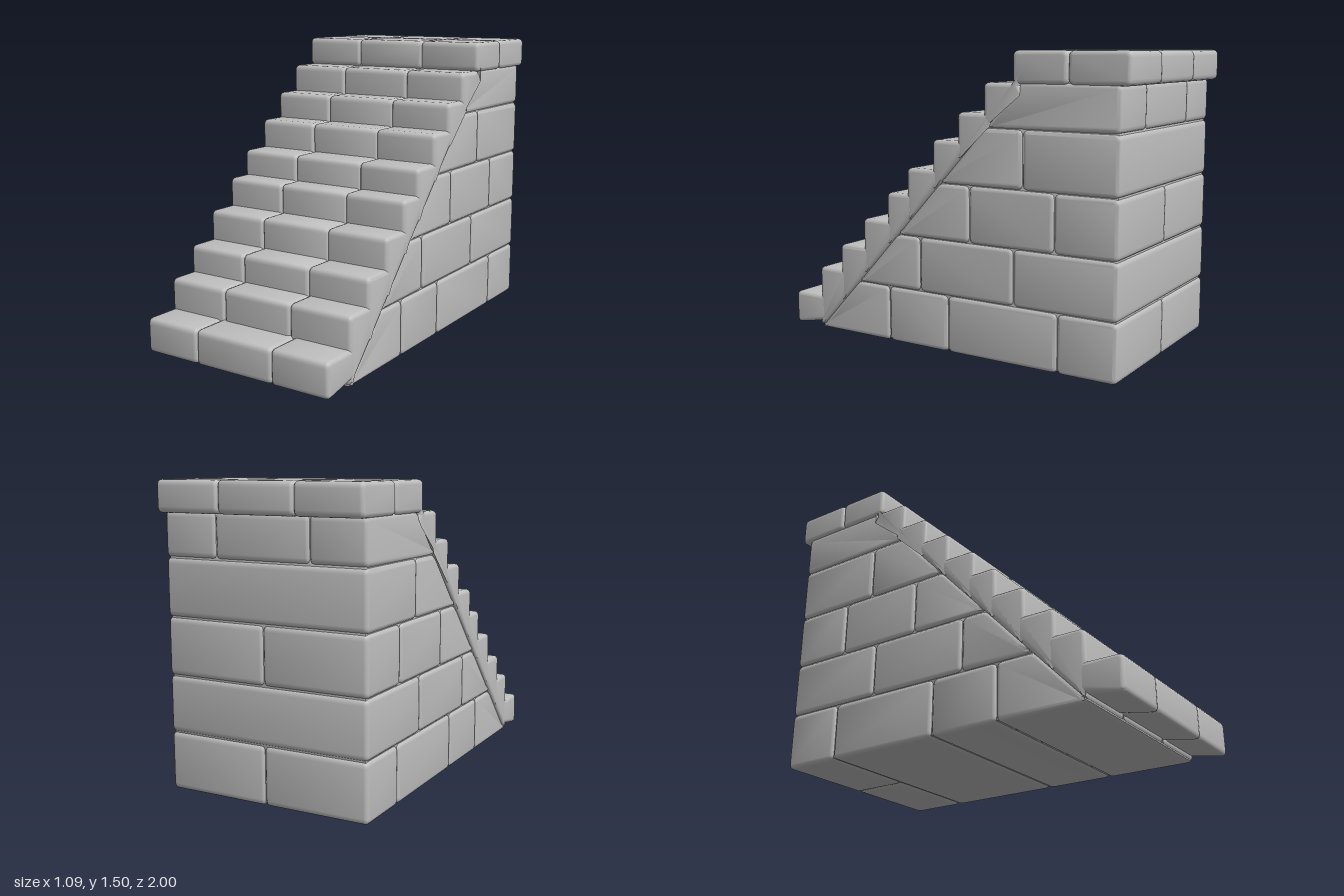
import * as THREE from 'three';
import { toCreasedNormals } from 'three/addons/utils/BufferGeometryUtils.js';

const stone = new THREE.MeshStandardMaterial({ color: 0xbfbfbf });
stone.name = 'pale stone';

// Rounded stone: a convex (z, y) outline extruded from x0 to x1 with softened edges
function makeStone(name, points, x0, x1, bevel = 0.02, radius = 0.03) {
  const pts = points.map(([z, y]) => new THREE.Vector2(z, y));
  const shape = new THREE.Shape();
  pts.forEach((p, i) => {
    const prev = pts[(i + pts.length - 1) % pts.length];
    const next = pts[(i + 1) % pts.length];
    const a = p.clone().add(prev.clone().sub(p).setLength(radius));
    const b = p.clone().add(next.clone().sub(p).setLength(radius));
    if (i === 0) shape.moveTo(a.x, a.y);
    else shape.lineTo(a.x, a.y);
    shape.quadraticCurveTo(p.x, p.y, b.x, b.y);
  });
  shape.closePath();
  const geo = new THREE.ExtrudeGeometry(shape, {
    depth: x1 - x0 - 2 * bevel, curveSegments: 4,
    bevelSize: bevel, bevelOffset: -bevel, bevelThickness: bevel, bevelSegments: 3,
  });
  geo.translate(0, 0, bevel);
  geo.rotateY(-Math.PI / 2);
  geo.translate(x1, 0, 0);
  const mesh = new THREE.Mesh(toCreasedNormals(geo, 0.8), stone);
  mesh.name = name;
  return mesh;
}

// Sloping joint between the stair stones and the wall below them
const slopeY = (z) => 0.03 + (0.79 - z) * 1.064;
const slopeZ = (y) => 0.79 - (y - 0.03) / 1.064;
const HALF = 0.545, WALL = 0.537, BACK = -0.95;

export function createModel() {
  const model = new THREE.Group();
  model.name = 'stoneStairs';

  // Steps, three stones across
  const steps = new THREE.Group();
  steps.name = 'steps';
  const fronts = [1, 0.82, 0.67, 0.51, 0.35, 0.22, 0.06, -0.09, -0.24, -0.4];
  const tops = [0.18, 0.34, 0.48, 0.635, 0.785, 0.92, 1.07, 1.21, 1.355];
  tops.forEach((top, i) => {
    const front = fronts[i], back = fronts[i + 1] - 0.04;
    const seam = i === 0 ? 0.225 : 0.2;
    const outline = [
      [front, Math.max(0, slopeY(front))], [front, top],
      [back, top], [back, Math.max(0, slopeY(back))],
    ];
    const xs = [-HALF, -seam, seam, HALF];
    for (let k = 0; k < 3; k++) steps.add(makeStone('stepStone', outline, xs[k], xs[k + 1]));
  });
  model.add(steps);

  // Overhanging landing, two rows of three slabs
  const landing = new THREE.Group();
  landing.name = 'landing';
  for (const [z0, z1] of [[-0.4, -0.69], [-0.69, -1]]) {
    const outline = [[z0, 1.35], [z0, 1.505], [z1, 1.505], [z1, 1.35]];
    const xs = [-HALF, -0.2, 0.2, HALF];
    for (let k = 0; k < 3; k++) landing.add(makeStone('landingSlab', outline, xs[k], xs[k + 1]));
  }
  model.add(landing);

  // Wall courses: side joints along z, and joints across the back
  const wall = new THREE.Group();
  wall.name = 'wall';
  const courses = [
    { y: [0, 0.29], seams: [0.35, -0.02, -0.64], back: [0] },
    { y: [0.29, 0.57], seams: [0.15, -0.4], back: [] },
    { y: [0.57, 0.855], seams: [-0.15, -0.62], back: [0] },
    { y: [0.855, 1.14], seams: [-0.45], back: [] },
    { y: [1.14, 1.36], seams: [], back: [-0.25, 0.25] },
  ];
  for (const { y: [y0, y1], seams, back } of courses) {
    const ends = [...seams, BACK];
    ends.forEach((end, i) => {
      const lower = i === 0 ? slopeZ(y0) + 0.01 : ends[i - 1];
      const upper = i === 0 ? slopeZ(y1) + 0.01 : ends[i - 1];
      const outline = [[lower, y0], [upper, y1], [end, y1], [end, y0]];
      const cuts = i === ends.length - 1 ? back : [];
      const xs = [-WALL, ...cuts, WALL];
      for (let k = 0; k + 1 < xs.length; k++) {
        wall.add(makeStone('wallStone', outline, xs[k], xs[k + 1]));
      }
    });
  }
  model.add(wall);

  // Mortar core keeps the joints shallow
  model.add(makeStone('mortarCore',
    [[0.8, 0.01], [-0.44, 1.37], [-0.938, 1.37], [-0.938, 0.01]], -0.525, 0.525, 0.005, 0.01));
  return model;
}
